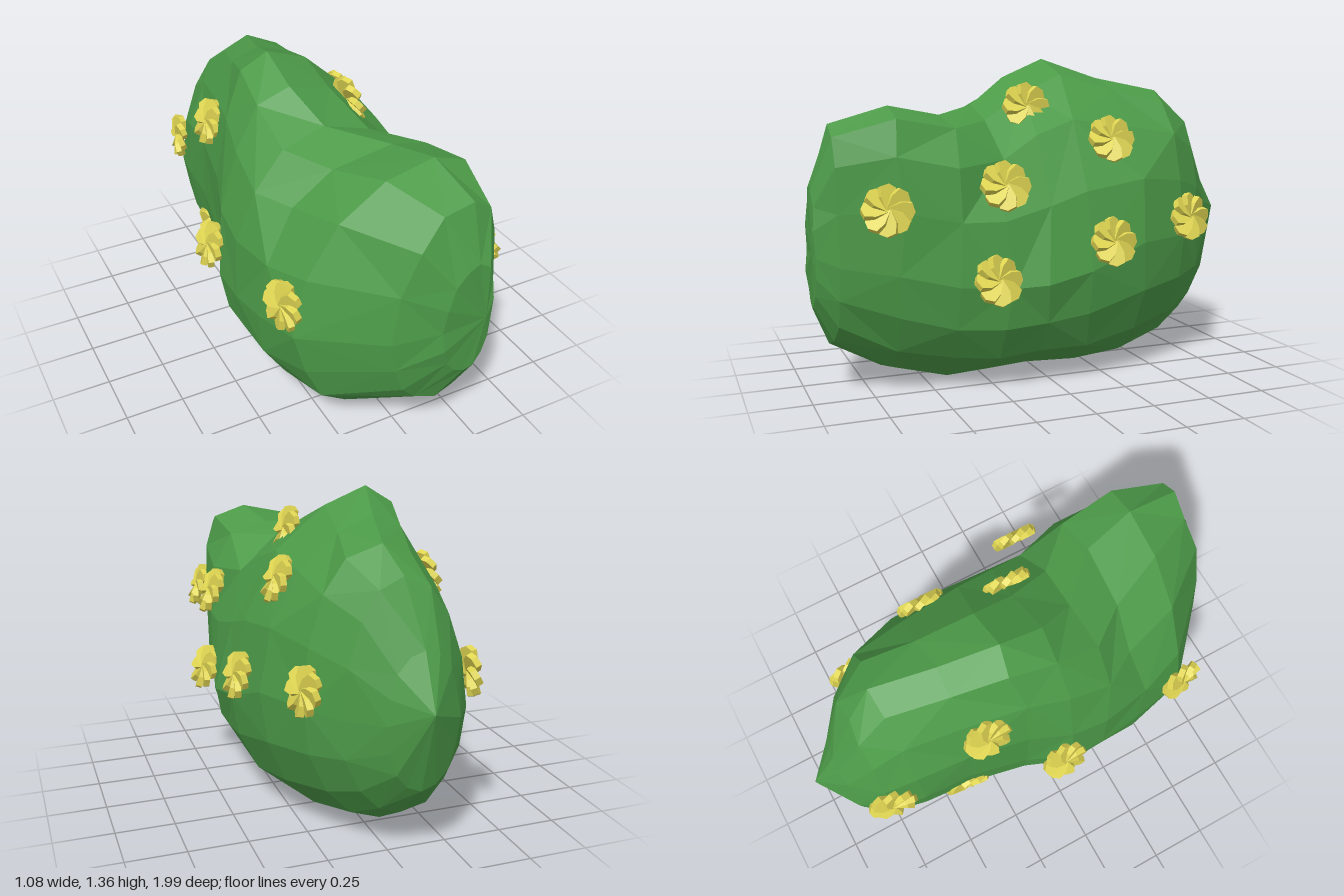
import * as THREE from 'three';

const green = new THREE.MeshStandardMaterial({ color: 0x4c9a48, flatShading: true });
const yellow = new THREE.MeshStandardMaterial({ color: 0xdfd552, flatShading: true });

// Cross-sections from front to back:
// z, left edge, right edge, bottom, top, crest x, mid height, left and right shoulder fullness
const sections = [
  [0.98, 0.06, 0.28, 0.38, 0.88, 0.2, 0.6, 0.9, 0.9],
  [0.9, -0.12, 0.31, 0.21, 1.11, 0.2, 0.56, 0.8, 0.8],
  [0.66, -0.4, 0.37, 0.06, 1.18, 0.19, 0.52, 0.74, 0.82],
  [0.42, -0.46, 0.42, 0.005, 1.14, 0.13, 0.47, 0.63, 0.8],
  [0.24, -0.47, 0.46, 0.015, 1.17, -0.06, 0.45, 0.85, 0.85],
  [0.06, -0.48, 0.475, 0.03, 1.29, -0.13, 0.46, 1.2, 1],
  [-0.13, -0.39, 0.465, 0.02, 1.36, -0.14, 0.5, 1.15, 1.07],
  [-0.38, -0.36, 0.41, 0.03, 1.28, -0.08, 0.6, 1.08, 1.05],
  [-0.62, -0.35, 0.31, 0.09, 1.22, 0, 0.6, 1, 0.95],
  [-0.76, -0.31, 0.2, 0.17, 1.12, -0.05, 0.58, 1, 0.95],
  [-0.88, -0.23, 0.07, 0.31, 0.87, -0.08, 0.59, 1, 1],
];

function makeRandom(seed) {
  return () => (seed = (seed * 16807) % 2147483647) / 2147483647;
}

// Lopsided faceted body lofted through the sections
function bodyGeometry() {
  const K = 16;
  const random = makeRandom(77);
  const pos = [];
  const index = [];
  for (const [z, x0, x1, y0, y1, crest, midY, fullLeft, fullRight] of sections) {
    const midX = (x0 + x1) / 2, half = (x1 - x0) / 2;
    const wobble = () => (random() - 0.5) * 0.05 * half;
    for (let j = 0; j < K; j++) {
      const a = (j / K) * Math.PI * 2;
      const c = Math.cos(a), s = Math.sin(a);
      const shoulder = c < 0 ? fullLeft : fullRight;
      const reach = Math.sign(c) * Math.pow(Math.abs(c), s > 0 ? shoulder : 0.95);
      const lean = s > 0 ? (crest - midX) * s * s : 0;
      const y = midY + s * (s > 0 ? y1 - midY : midY - y0);
      pos.push(midX + reach * half + lean + wobble(), Math.max(0, y + wobble() * 0.5), z + wobble() * 2);
    }
  }
  const rows = sections.length;
  for (let i = 0; i < rows - 1; i++) {
    for (let j = 0; j < K; j++) {
      const n = (j + 1) % K;
      const a = i * K + j, b = i * K + n, c = a + K, d = b + K;
      if ((i + j) % 2) index.push(a, c, b, b, c, d);
      else index.push(a, c, d, a, d, b);
    }
  }
  // closing fans at the blunt front and the pointed back
  const front = rows * K, back = front + 1;
  pos.push(0.25, 0.62, 0.985, -0.07, 0.66, -1);
  for (let j = 0; j < K; j++) {
    const n = (j + 1) % K, last = (rows - 1) * K;
    index.push(front, j, n, back, last + n, last + j);
  }
  const g = new THREE.BufferGeometry();
  g.setAttribute('position', new THREE.Float32BufferAttribute(pos, 3));
  g.setIndex(index);
  const flat = g.toNonIndexed();
  flat.computeVertexNormals();
  return flat;
}

// One petal, running outward along +x and pitched like a propeller blade
function petalGeometry() {
  const outline = [[0, -0.015], [0.05, -0.04], [0.09, -0.034], [0.104, -0.005], [0.092, 0.03], [0.05, 0.034], [0, 0.015]];
  const shape = new THREE.Shape(outline.map(([x, y]) => new THREE.Vector2(x, y)));
  const g = new THREE.ExtrudeGeometry(shape, { depth: 0.026, bevelEnabled: false });
  g.translate(0, 0, -0.013);
  g.rotateX(0.42);
  return g;
}

// Flower centres on the surface, each with its upward and forward tilt
const flowers = [
  [0.405, 0.79, 0.72, 0.35, 0.1], [0.45, 0.87, 0.26, 0.45, 0], [0.48, 0.5, 0.3, 0.4, -0.2],
  [0.155, 1.165, 0.06, 0.3, 0], [0.3, 1.03, -0.27, 0.45, 0], [0.46, 0.62, -0.21, 0.3, -0.1],
  [0.315, 0.68, -0.65, 0.2, -0.25],
  [-0.44, 0.67, 0.62, 0.15, 0.2], [-0.49, 0.59, 0, 0.35, 0], [-0.35, 1.01, -0.3, 0.35, 0],
  [-0.335, 0.72, -0.75, 0.1, -0.2], [-0.325, 0.38, -0.41, -0.2, -0.1],
];

export function createModel() {
  const model = new THREE.Group();
  model.name = 'floweringBush';

  const body = new THREE.Mesh(bodyGeometry(), green);
  body.name = 'foliage';
  model.add(body);

  const petal = petalGeometry();
  for (const [x, y, z, up, forward] of flowers) {
    const flower = new THREE.Group();
    flower.name = 'flower';
    for (let i = 0; i < 8; i++) {
      const blade = new THREE.Mesh(petal, yellow);
      blade.name = 'petal';
      blade.rotation.z = (i / 8) * Math.PI * 2;
      flower.add(blade);
    }
    // face outward from the bush
    flower.position.set(x, y, z);
    flower.lookAt(x + Math.sign(x), y + up, z + forward);
    model.add(flower);
  }
  return model;
}
